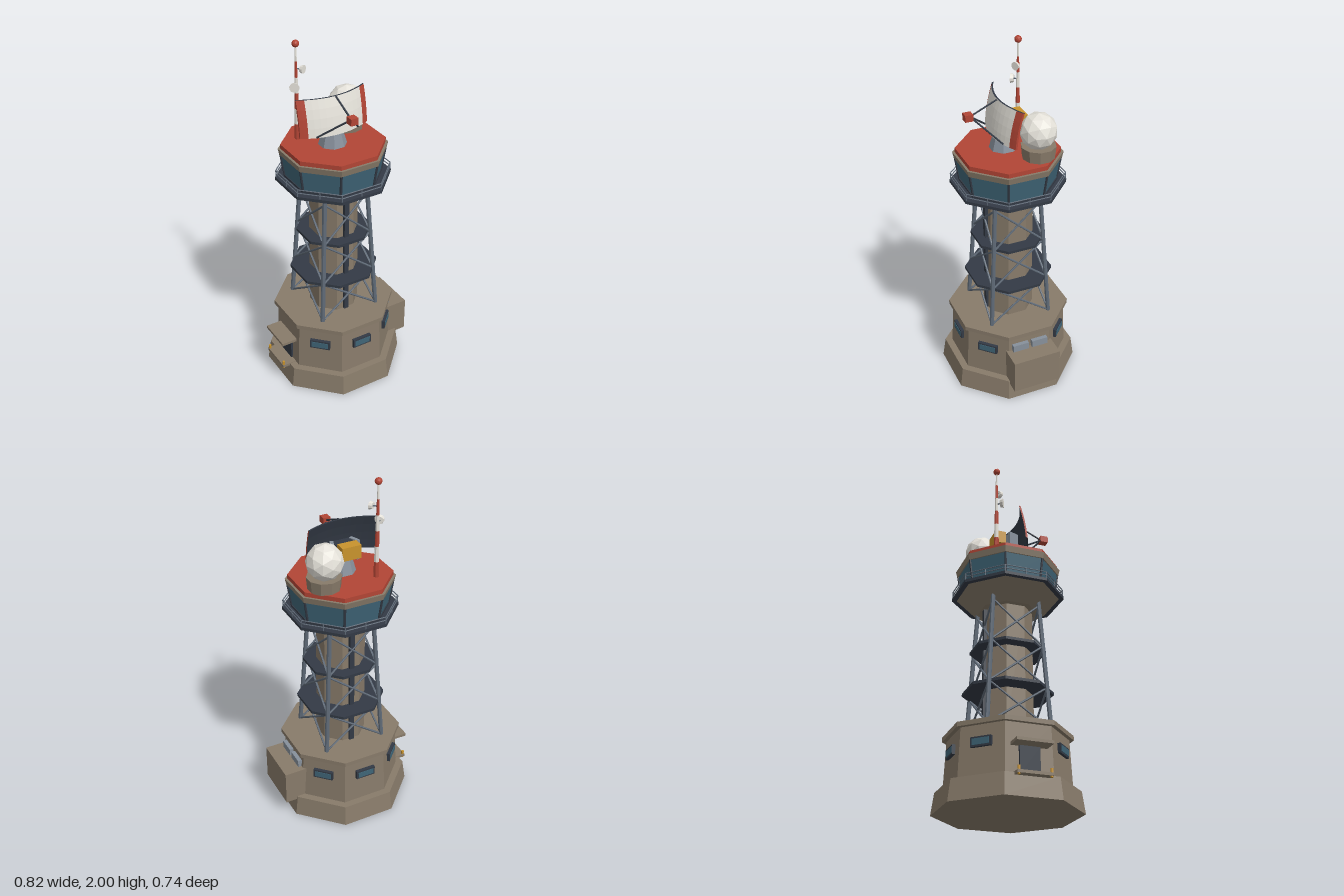
import * as THREE from 'three';

const mat = (name, color, extra = {}) => {
  const m = new THREE.MeshStandardMaterial({ color, flatShading: true, ...extra });
  m.name = name;
  return m;
};

export function createModel() {
  const concrete = mat('concrete', 0x887b6a);
  const red = mat('signalRed', 0xb24535);
  const dark = mat('darkMetal', 0x333a45);
  const frame = mat('frameSteel', 0x5f6a77);
  const steel = mat('paleSteel', 0x87909b);
  const glass = mat('glass', 0x3f6577);
  const white = mat('white', 0xe5e2da);
  const amber = mat('amber', 0xc8932d);

  const model = new THREE.Group();
  model.name = 'radarTower';
  const tower = new THREE.Group();
  tower.name = 'tower';
  tower.position.x = -0.013;
  model.add(tower);

  const add = (name, geo, material, x = 0, y = 0, z = 0, parent = tower) => {
    const m = new THREE.Mesh(geo, material);
    m.name = name;
    m.position.set(x, y, z);
    parent.add(m);
    return m;
  };
  const box = (name, w, h, d, material, x, y, z, parent) =>
    add(name, new THREE.BoxGeometry(w, h, d), material, x, y, z, parent);
  // Octagonal block given by flat-to-centre distances at its bottom and top
  const K = 1 / Math.cos(Math.PI / 8);
  const octagon = (name, bottom, top, y0, y1, material) =>
    add(name, new THREE.CylinderGeometry(top * K, bottom * K, y1 - y0, 8).rotateY(Math.PI / 8),
      material, 0, (y0 + y1) / 2, 0);
  // Round bar between two points
  const bar = (name, a, b, r, material, parent = tower, sides = 6) => {
    const p = new THREE.Vector3(...a), q = new THREE.Vector3(...b);
    const d = q.clone().sub(p);
    const m = add(name, new THREE.CylinderGeometry(r, r, d.length(), sides), material, 0, 0, 0, parent);
    m.position.copy(p).add(q).multiplyScalar(0.5);
    m.quaternion.setFromUnitVectors(new THREE.Vector3(0, 1, 0), d.normalize());
    return m;
  };
  const corner = (k, apothem, y) => {
    const a = Math.PI / 8 + k * Math.PI / 4;
    return [Math.sin(a) * apothem * K, y, Math.cos(a) * apothem * K];
  };

  // Base building
  octagon('plinth', 0.368, 0.352, 0, 0.12, concrete);
  octagon('baseWall', 0.313, 0.3, 0.12, 0.395, concrete);
  octagon('baseCap', 0.322, 0.322, 0.395, 0.42, concrete);
  for (let k = 0; k < 8; k++) {
    if (k === 2 || k === 6) continue;
    const w = new THREE.Group();
    w.name = 'baseWindow';
    w.rotation.y = k * Math.PI / 4;
    tower.add(w);
    box('windowFrame', 0.115, 0.052, 0.024, dark, 0, 0.3, 0.31, w);
    box('windowPane', 0.095, 0.034, 0.004, glass, 0, 0.3, 0.323, w);
  }

  // Side annex with roof vents
  box('annex', 0.13, 0.205, 0.28, concrete, 0.356, 0.2025, 0);
  for (const s of [-1, 1]) box('annexVent', 0.035, 0.045, 0.095, steel, 0.308, 0.325, s * 0.058);

  // Entrance with canopy, step and bollards
  box('door', 0.02, 0.15, 0.11, dark, -0.311, 0.195, 0);
  box('canopy', 0.11, 0.016, 0.195, concrete, -0.342, 0.278, 0);
  box('step', 0.09, 0.016, 0.19, concrete, -0.352, 0.115, 0);
  for (const s of [-1, 1])
    add('bollard', new THREE.CylinderGeometry(0.008, 0.008, 0.045, 6), amber, -0.388, 0.123, s * 0.085);

  // Shaft with cable ducts
  octagon('shaft', 0.13, 0.125, 0.42, 1.16, concrete);
  for (const s of [-1, 1]) box('cableDuct', 0.028, 0.73, 0.02, dark, 0, 0.785, s * 0.134);

  // Lattice legs and cross braces
  const levels = [0.42, 0.66, 0.905, 1.155];
  const leg = (k, y) => {
    const r = 0.177 - (y - 0.42) * 0.058;
    const a = Math.PI / 4 + k * Math.PI / 2;
    return [Math.sin(a) * r * Math.SQRT2, y, Math.cos(a) * r * Math.SQRT2];
  };
  for (let k = 0; k < 4; k++) {
    bar('leg', leg(k, 0.42), leg(k, 1.18), 0.013, frame, tower, 8);
    for (let i = 0; i < 3; i++) {
      bar('brace', leg(k, levels[i]), leg(k + 1, levels[i + 1]), 0.006, frame);
      bar('brace', leg(k + 1, levels[i]), leg(k, levels[i + 1]), 0.006, frame);
    }
  }
  octagon('lowerPlatform', 0.23, 0.23, 0.652, 0.668, dark);
  octagon('upperPlatform', 0.194, 0.194, 0.897, 0.913, dark);

  // Flared cab floor, gallery and railing
  octagon('flare', 0.155, 0.27, 1.145, 1.235, concrete);
  octagon('gallery', 0.293, 0.293, 1.233, 1.25, dark);
  for (let k = 0; k < 8; k++) {
    const a = corner(k, 0.288, 1.25), b = corner(k + 1, 0.288, 1.25);
    for (const t of [0, 0.5]) {
      const x = a[0] + (b[0] - a[0]) * t, z = a[2] + (b[2] - a[2]) * t;
      bar('railPost', [x, 1.25, z], [x, 1.29, z], 0.003, frame);
    }
    for (const y of [1.27, 1.29])
      bar('rail', [a[0], y, a[2]], [b[0], y, b[2]], 0.003, frame);
  }

  // Control cab
  octagon('cabSill', 0.248, 0.249, 1.25, 1.262, dark);
  octagon('cabGlass', 0.242, 0.262, 1.25, 1.387, glass);
  for (let k = 0; k < 8; k++)
    bar('mullion', corner(k, 0.242, 1.25), corner(k, 0.262, 1.387), 0.007, dark);
  octagon('cabHead', 0.268, 0.275, 1.385, 1.42, concrete);
  octagon('roof', 0.262, 0.262, 1.42, 1.445, red);

  // Radome
  add('radomeBase', new THREE.CylinderGeometry(0.095, 0.088, 0.07, 10), concrete, 0.137, 1.478, -0.108, model);
  add('radome', new THREE.IcosahedronGeometry(0.101, 1), white, 0.133, 1.592, -0.108, model);

  // Rotating radar antenna
  const radar = new THREE.Group();
  radar.name = 'radar';
  radar.position.x = -0.03;
  model.add(radar);
  add('pedestal', new THREE.CylinderGeometry(0.052, 0.078, 0.09, 8).rotateY(Math.PI / 8), steel, 0, 1.488, 0.02, radar);
  box('turntable', 0.11, 0.09, 0.07, dark, 0, 1.575, 0, radar);
  box('counterweight', 0.11, 0.075, 0.062, amber, 0, 1.598, -0.067, radar);
  for (const s of [-1, 1]) {
    const arm = box('yokeArm', 0.02, 0.11, 0.06, steel, s * 0.066, 1.57, 0.002, radar);
    arm.rotation.y = -s * 0.35;
  }
  // Curved reflector: plates bent by a rule, end strips in red
  const reflector = (name, u0, u1, segments, face) => {
    const g = new THREE.BoxGeometry(u1 - u0, 2, 0.01, segments, 4, 1);
    const p = g.attributes.position;
    for (let i = 0; i < p.count; i++) {
      const u = p.getX(i) + (u0 + u1) / 2, v = p.getY(i);
      p.setXYZ(i, u * 0.203, 1.63 + v * 0.1,
        p.getZ(i) + 0.068 - 0.055 * u * u - 0.02 * v + 0.006 * (1 - v * v));
    }
    g.computeVertexNormals();
    add(name, g, [face, face, dark, dark, face, dark], 0, 0, 0, radar);
  };
  reflector('reflector', -0.81, 0.81, 10, white);
  reflector('reflectorEnd', -1, -0.81, 2, red);
  reflector('reflectorEnd', 0.81, 1, 2, red);
  box('feedHorn', 0.043, 0.038, 0.045, red, 0, 1.66, 0.216, radar);
  for (const end of [[0, 1.728, 0.055], [-0.125, 1.533, 0.072], [0.125, 1.533, 0.072]])
    bar('feedStrut', [0, 1.66, 0.205], end, 0.005, dark, radar);

  // Banded aerial mast with link dishes
  const mast = new THREE.Group();
  mast.name = 'mast';
  mast.position.set(-0.162, 0, -0.122);
  model.add(mast);
  const radius = (i) => 0.016 - i * 0.0019;
  for (let i = 0; i < 6; i++)
    add('mastBand', new THREE.CylinderGeometry(radius(i + 1), radius(i), 0.088, 8),
      i % 2 ? white : red, 0, 1.489 + i * 0.088, 0, mast);
  add('beacon', new THREE.IcosahedronGeometry(0.02, 1), red, 0, 1.98, 0, mast);
  for (const [s, y, r] of [[-1, 1.755, 0.027], [1, 1.845, 0.023]]) {
    const d = add('linkDish', new THREE.CylinderGeometry(r, r * 0.8, 0.018, 10).rotateX(Math.PI / 2),
      white, s * 0.024, y, 0.023, mast);
    d.rotation.y = s * 0.55;
    bar('linkBracket', [0, y, 0], [s * 0.024, y, 0.018], 0.004, frame, mast);
  }
  return model;
}
